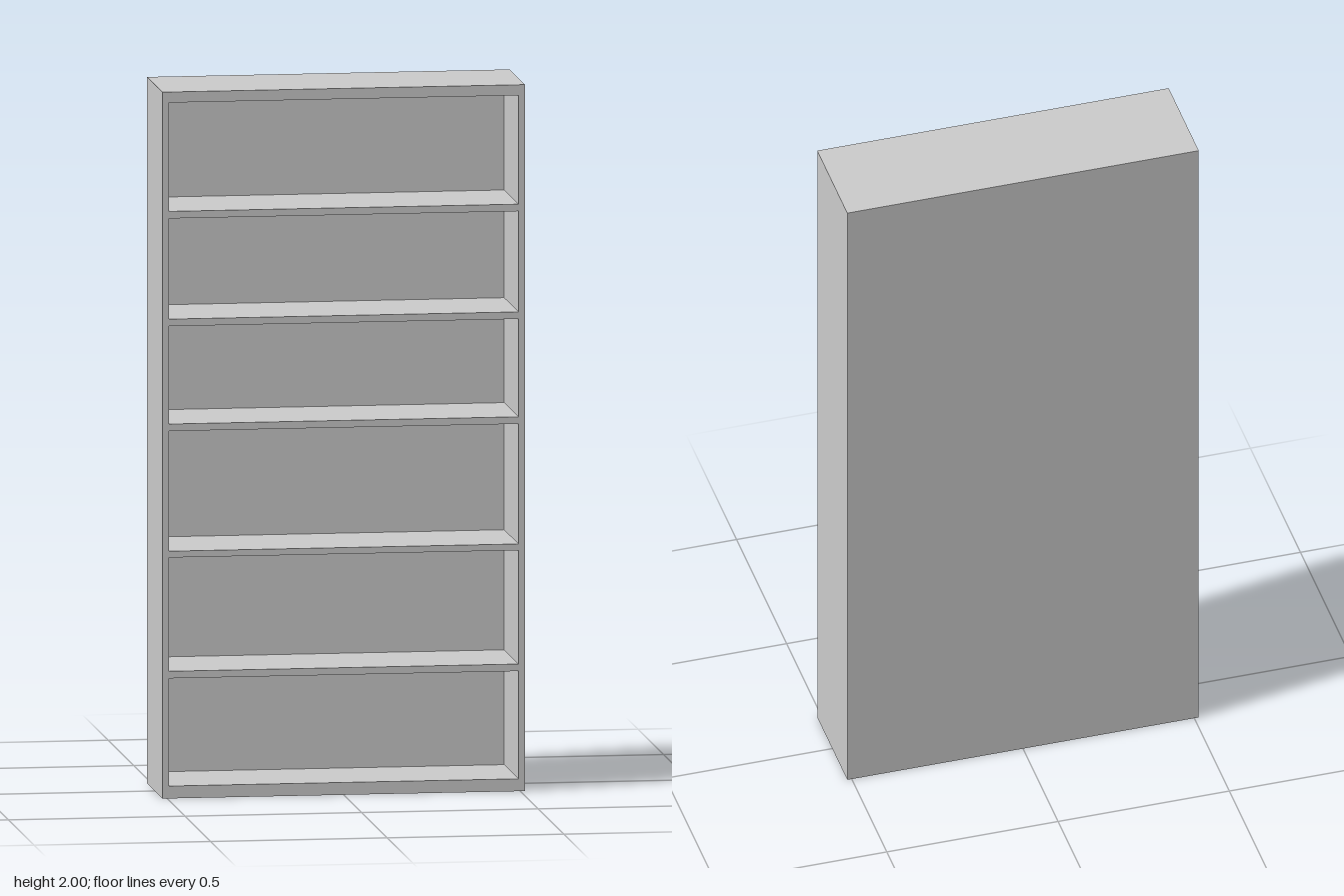
import * as THREE from 'three';

const WIDTH = 1.026, HEIGHT = 2, DEPTH = 0.3;
const SIDE = 0.018, BACK = 0.02;

export function createModel() {
  const group = new THREE.Group();
  group.name = 'bookcase';
  const material = new THREE.MeshStandardMaterial({ color: 0xcccccc });

  // Box given by its minimum and maximum corners
  function board(name, [x0, y0, z0], [x1, y1, z1]) {
    const mesh = new THREE.Mesh(new THREE.BoxGeometry(x1 - x0, y1 - y0, z1 - z0), material);
    mesh.position.set((x0 + x1) / 2, (y0 + y1) / 2, (z0 + z1) / 2);
    mesh.name = name;
    group.add(mesh);
  }

  const outer = WIDTH / 2, inner = outer - SIDE;
  const front = DEPTH / 2, rear = -front, backFace = rear + BACK;

  // Carcass: two uprights and a back panel between them
  board('leftSide', [inner, 0, rear], [outer, HEIGHT, front]);
  board('rightSide', [-outer, 0, rear], [-inner, HEIGHT, front]);
  board('backPanel', [-inner, 0, rear], [inner, HEIGHT, backFace]);

  // Horizontal boards: name, underside, upper face
  const levels = [
    ['base', 0, 0.035],
    ['shelf1', 0.34, 0.36],
    ['shelf2', 0.682, 0.7],
    ['shelf3', 1.04, 1.06],
    ['shelf4', 1.337, 1.357],
    ['shelf5', 1.642, 1.662],
    ['topBoard', 1.97, HEIGHT],
  ];
  for (const [name, low, high] of levels) {
    board(name, [-inner, low, backFace], [inner, high, front]);
  }

  return group;
}
